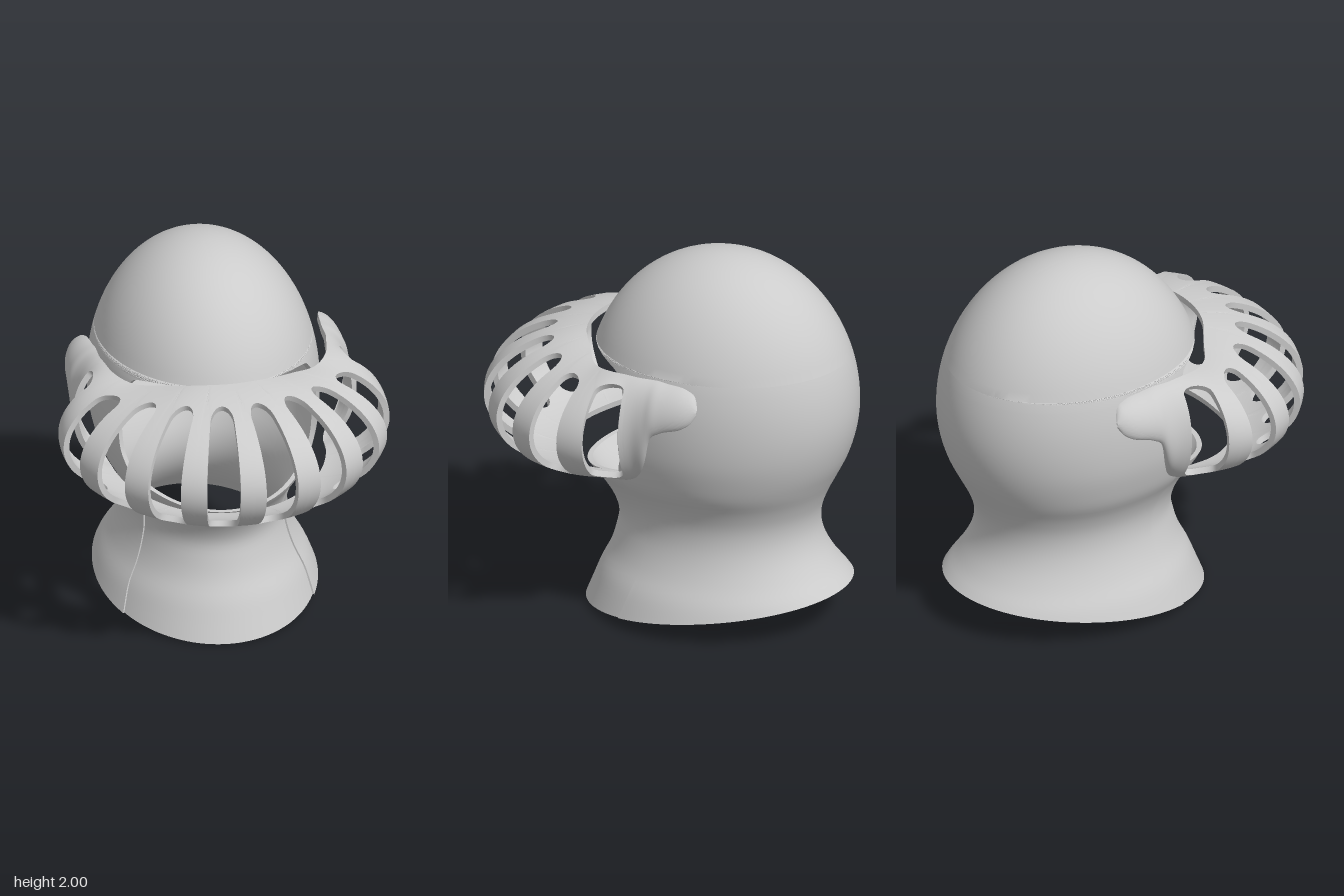
import * as THREE from 'three';
import { mergeGeometries, toCreasedNormals } from 'three/addons/utils/BufferGeometryUtils.js';

const { lerp, clamp, degToRad } = THREE.MathUtils;
const table = (rows) => new THREE.CubicInterpolant(
  rows.map((r) => r[0]), rows.flatMap((r) => r.slice(1)), rows[0].length - 1);

// Thick sheet: point(i, j, true/false) gives the outer/inner surface on a rows x cols grid
function shell(rows, cols, point, closed = false) {
  const pos = [];
  const grid = [false, true].map((inner) => Array.from({ length: rows + 1 }, (_, i) =>
    Array.from({ length: cols + 1 }, (_, j) => point(i, j, inner))));
  const [o, n] = grid;
  const quad = (a, b, c, d) => [a, b, c, a, c, d].forEach((p) => pos.push(p.x, p.y, p.z));
  for (let i = 0; i < rows; i++) {
    for (let j = 0; j < cols; j++) {
      quad(o[i][j], o[i][j + 1], o[i + 1][j + 1], o[i + 1][j]);
      quad(n[i][j], n[i + 1][j], n[i + 1][j + 1], n[i][j + 1]);
    }
    if (!closed) {
      quad(o[i][0], o[i + 1][0], n[i + 1][0], n[i][0]);
      quad(o[i + 1][cols], o[i][cols], n[i][cols], n[i + 1][cols]);
    }
  }
  for (let j = 0; j < cols; j++) {
    quad(o[0][j + 1], o[0][j], n[0][j], n[0][j + 1]);
    quad(o[rows][j], o[rows][j + 1], n[rows][j + 1], n[rows][j]);
  }
  const g = new THREE.BufferGeometry();
  g.setAttribute('position', new THREE.Float32BufferAttribute(pos, 3));
  return g;
}

// Head and neck sections: height, back depth, front depth, half width
const sections = table([
  [0, 0.82, 0.75, 0.62], [0.1, 0.75, 0.71, 0.585], [0.2, 0.70, 0.67, 0.545],
  [0.3, 0.61, 0.62, 0.49], [0.4, 0.545, 0.59, 0.45], [0.5, 0.515, 0.575, 0.43],
  [0.6, 0.52, 0.61, 0.435], [0.7, 0.555, 0.68, 0.47], [0.8, 0.605, 0.765, 0.525],
  [0.9, 0.655, 0.79, 0.56], [1.0, 0.69, 0.78, 0.585], [1.1, 0.712, 0.75, 0.597],
  [1.2, 0.72, 0.73, 0.6], [1.3, 0.714, 0.724, 0.595]]);
// Side edge of the helmet: height, z (neck seam below, face opening above)
const sideEdge = table([[0, 0.13], [0.1, 0.095], [0.3, 0.03], [0.5, 0], [0.7, 0.035],
  [0.87, 0.12], [1.0, 0.09], [1.2, 0.075], [1.35, 0.09], [1.42, 0.13]]);
const ZC = -0.28, LIP = 0.87, SIDE_TOP = 1.42, BROW = 1.48;

function section(y) {
  if (y <= 1.2) return [...sections.evaluate(y)];
  const s = Math.sqrt(Math.max(0, 1 - ((y - 1.2) / 0.8) ** 2));
  return [0.72 * s, 0.73 * s, 0.6 * s];
}
function skull(angle, y, inset) {
  const [back, front, half] = section(y), c = Math.cos(angle);
  const depth = Math.max(0, (c > 0 ? front : back) - inset);
  return new THREE.Vector3(Math.max(0, half - inset) * Math.sin(angle),
    y - inset * Math.max(0, (y - 1.2) / 0.8), ZC + depth * c);
}
function edgeAngle(y) {
  if (y >= BROW) return 0;
  const yy = Math.min(y, SIDE_TOP);
  const a = Math.acos(clamp((sideEdge.evaluate(yy)[0] - ZC) / section(yy)[1], -1, 1));
  return y > SIDE_TOP ? a * Math.sqrt(1 - ((y - SIDE_TOP) / (BROW - SIDE_TOP)) ** 2) : a;
}
const hem = (z) => Math.max(0, 0.15 * (0.47 - z));
// Point between the sloping hem and an upper edge, at a share t of the height
function between(t, top, angleAt, inset) {
  let y = lerp(0.1, LIP, t);
  for (let k = 0; k < 12; k++) {
    const { z } = skull(angleAt(y), y, 0);
    y = lerp(hem(z), top(z), t);
  }
  return skull(angleAt(y), y, inset);
}

function helmetGeometry() {
  const NECK = 26, COLS = 96, heights = [];
  for (let k = 1; k <= 16; k++) heights.push(lerp(LIP, SIDE_TOP, k / 16));
  for (let k = 1; k <= 8; k++) heights.push(lerp(SIDE_TOP, BROW, Math.sin(k * Math.PI / 16)));
  heights[heights.length - 1] = BROW;
  const start = Math.asin((BROW - 1.2) / 0.8);
  for (let k = 1; k <= 20; k++) heights.push(1.2 + 0.8 * Math.sin(lerp(start, Math.PI / 2, k / 20)));
  return shell(NECK + heights.length, COLS, (i, j, inner) => {
    const inset = inner ? 0.025 : 0;
    const angleAt = (y) => {
      const e = edgeAngle(y);
      return lerp(e, 2 * Math.PI - e, j / COLS);
    };
    if (i <= NECK) return between(i / NECK, () => LIP, angleAt, inset);
    const y = heights[i - NECK - 1];
    return skull(angleAt(y), y, inset);
  });
}

function neckGuardGeometry() {
  const ROWS = 28, COLS = 48;
  const top = (z) => LIP - 0.286 * Math.max(0, z - 0.12);
  return shell(ROWS, COLS, (i, j, inner) => between(i / ROWS, top,
    (y) => lerp(-1.03, 1.03, j / COLS) * edgeAngle(Math.min(y, LIP)), inner ? 0.036 : 0.009));
}

// Visor stations: position, top radius, top height, bulge radius, bottom radius, bottom height.
// Positions to 90 are degrees round the face; beyond, hundredths of a unit back along the head.
const stations = table([
  [-30, 0.35, 1.515, 0.88, 0.50, 0.82], [0, 0.33, 1.52, 0.88, 0.48, 0.81],
  [30, 0.35, 1.515, 0.88, 0.50, 0.82], [60, 0.41, 1.485, 0.89, 0.53, 0.85],
  [75, 0.50, 1.47, 0.89, 0.55, 0.87], [90, 0.57, 1.485, 0.85, 0.57, 0.89],
  [100, 0.59, 1.49, 0.76, 0.58, 0.89], [106, 0.60, 1.49, 0.74, 0.60, 0.93],
  [113, 0.60, 1.49, 0.74, 0.68, 1.06], [117, 0.60, 1.49, 0.735, 0.72, 1.2],
  [122, 0.605, 1.485, 0.73, 0.725, 1.245], [135, 0.62, 1.47, 0.715, 0.71, 1.29],
  [140, 0.64, 1.44, 0.695, 0.695, 1.33], [142, 0.67, 1.395, 0.685, 0.68, 1.365]]);

function visorPoint(q, v) {
  const p = Math.abs(q);
  const [tr, ty, mr, br, by] = stations.evaluate(p);
  const r = lerp(tr, br, v) + (mr - (tr + br) / 2) * Math.sin(Math.PI * v);
  const y = (ty + by) / 2 + (ty - by) / 2 * (0.75 * Math.cos(Math.PI * v) + 0.25 * (1 - 2 * v));
  const a = degToRad(Math.min(p, 90));
  return new THREE.Vector3(Math.sign(q) * r * Math.sin(a), y,
    0.12 + r * Math.cos(a) - Math.max(0, p - 90) * 0.01);
}
function visorSurface(q, v, inner) {
  const point = visorPoint(q, v);
  if (!inner) return point;
  const e = 0.004;
  const across = visorPoint(q + 0.2, v).sub(visorPoint(q - 0.2, v));
  const up = visorPoint(q, v - e).sub(visorPoint(q, v + e));
  return point.addScaledVector(across.cross(up).normalize(), -0.032);
}

// One visor cell with a round-ended window
function windowCell(q0, q1, h0, h1) {
  const W = 10, H = 30, ROUND = 0.17, V0 = 0.11, V1 = 0.86, RINGS = 5, rim = [];
  const arc = (s, side) => [Math.sin(s * Math.PI / 2), side * (1 - ROUND + ROUND * Math.cos(s * Math.PI / 2))];
  const add = (a, b, hole) => rim.push([
    lerp(q0, q1, (a + 1) / 2), (1 - b) / 2,
    lerp(h0, h1, (hole[0] + 1) / 2), lerp(V1, V0, (hole[1] + 1) / 2)]);
  for (let k = 0; k < W; k++) { const s = 2 * k / W - 1; add(s, -1, arc(s, -1)); }
  for (let k = 0; k < H; k++) { const s = 2 * k / H - 1; add(1, s, [1, s * (1 - ROUND)]); }
  for (let k = 0; k < W; k++) { const s = 1 - 2 * k / W; add(s, 1, arc(s, 1)); }
  for (let k = 0; k < H; k++) { const s = 1 - 2 * k / H; add(-1, s, [-1, s * (1 - ROUND)]); }
  return shell(RINGS, rim.length, (i, j, inner) => {
    const [q, v, hq, hv] = rim[j % rim.length], t = i / RINGS;
    return visorSurface(lerp(q, hq, t), lerp(v, hv, t), inner);
  }, true);
}

function visorGeometry() {
  const STEP = 20.5, SIDE = 104, TIP = 142, parts = [];
  for (let k = -4; k < 4; k++) {
    const mid = (k + 0.5) * STEP;
    parts.push(windowCell(k * STEP, (k + 1) * STEP, mid - 5.8, mid + 5.8));
  }
  parts.push(windowCell(4 * STEP, SIDE, 86.7, 101), windowCell(-SIDE, -4 * STEP, -101, -86.7));
  // Side arms reaching back to the temples
  for (const [from, to] of [[SIDE, TIP], [-TIP, -SIDE]]) {
    parts.push(shell(30, 30, (i, j, inner) => visorSurface(lerp(from, to, j / 30), 1 - i / 30, inner)));
  }
  return mergeGeometries(parts);
}

export function createModel() {
  const group = new THREE.Group();
  group.name = 'helmet';
  const material = new THREE.MeshStandardMaterial({ color: 0xcccccc, side: THREE.DoubleSide });
  const add = (name, geometry) => {
    const mesh = new THREE.Mesh(toCreasedNormals(geometry, 0.7), material);
    mesh.name = name;
    group.add(mesh);
  };
  add('skullAndNeck', helmetGeometry());
  add('frontNeckGuard', neckGuardGeometry());
  add('barredVisor', visorGeometry());
  return group;
}
